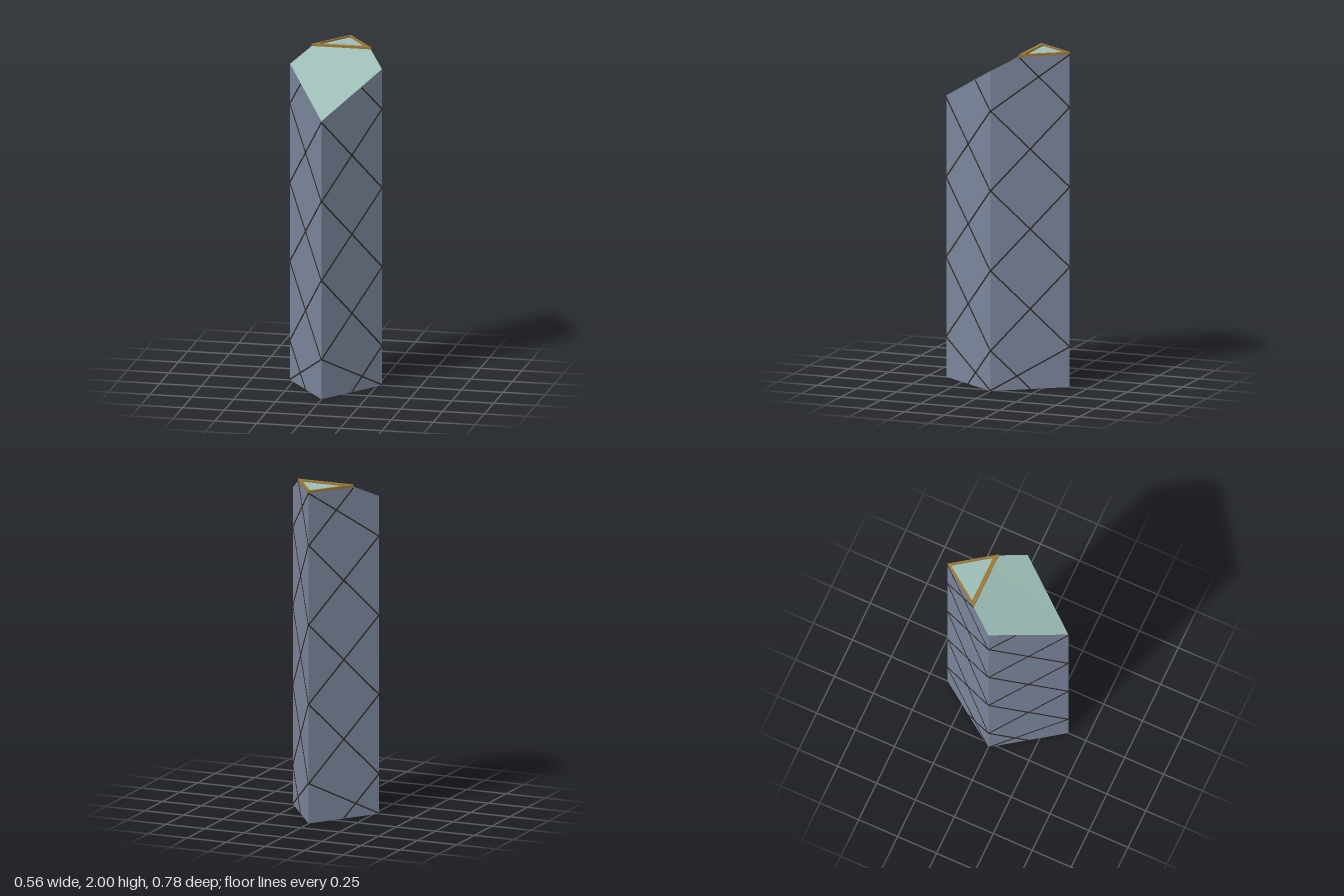
import * as THREE from 'three';

const HX = 0.275, HZ = 0.388;      // half diagonals of the rhombic plan
const FRONT_Y = 1.68, SIDE_Y = 1.91, TOP_Y = 1.987; // wall heights
const CUT_X = 0.177, CUT_Z = -0.139; // where the sloped roof meets the flat top

const mat = (color, side = THREE.FrontSide) => new THREE.MeshStandardMaterial({ color, side });

// Flat convex polygon as a triangle fan
function panel(name, points, material) {
  const g = new THREE.BufferGeometry().setFromPoints(points.map(p => new THREE.Vector3(...p)));
  const index = [];
  for (let i = 1; i < points.length - 1; i++) index.push(0, i, i + 1);
  g.setIndex(index);
  g.computeVertexNormals();
  const mesh = new THREE.Mesh(g, material);
  mesh.name = name;
  return mesh;
}

// Thin bar lying on a wall; u runs from the side corner (0) to the front or back corner (1)
function bar(sx, sz, [u0, y0, u1, y1], material) {
  const at = (u, y) => new THREE.Vector3(sx * HX * (1 - u), y, sz * HZ * u);
  const a = at(u0, y0), b = at(u1, y1);
  const along = b.clone().sub(a);
  const mesh = new THREE.Mesh(new THREE.BoxGeometry(along.length(), 0.008, 0.006), material);
  const normal = new THREE.Vector3(sx * HZ, 0, sz * HX).normalize();
  along.normalize();
  mesh.setRotationFromMatrix(new THREE.Matrix4().makeBasis(along, normal.clone().cross(along), normal));
  mesh.position.copy(a).add(b).multiplyScalar(0.5);
  mesh.name = 'latticeBar';
  return mesh;
}

function triangle(Type, halfWidth, backZ, frontZ) {
  const t = new Type();
  t.moveTo(-halfWidth, -frontZ);
  t.lineTo(halfWidth, -frontZ);
  t.lineTo(0, -backZ);
  t.closePath();
  return t;
}

export function createModel() {
  const tower = new THREE.Group();
  tower.name = 'tower';
  const wallMat = mat(0x7b859b, THREE.DoubleSide);
  const barMat = mat(0x302b27);
  const glassMat = mat(0x9dbdb6, THREE.DoubleSide);
  const goldMat = mat(0x9c7836);

  // Diagonal lattice shared by all four walls
  const lattice = [[1, 0.24, 0, 0.003], [0, 0.24, 0.5, 0.003]];
  for (let k = 0; k < 3; k++) {
    const y = 0.24 + 0.477 * k;
    lattice.push([0, y, 1, y + 0.477], [1, y, 0, y + 0.477]);
  }
  const frontEnds = [[0, 1.67, 0.34, 1.827]];
  const backEnds = [[0, 1.67, 1, 1.985], [1, 1.67, 0.366, 1.98]];

  for (const s of [1, -1]) {
    const label = s > 0 ? 'left' : 'right';
    const front = [[0, 0, HZ], [s * HX, 0, 0], [s * HX, SIDE_Y, 0], [0, FRONT_Y, HZ]];
    const back = [[s * HX, 0, 0], [0, 0, -HZ], [0, TOP_Y, -HZ],
      [s * CUT_X, TOP_Y, CUT_Z], [s * HX, SIDE_Y, 0]];
    if (s < 0) { front.reverse(); back.reverse(); }
    tower.add(panel(label + 'FrontWall', front, wallMat), panel(label + 'BackWall', back, wallMat));

    const bars = new THREE.Group();
    bars.name = label + 'Lattice';
    for (const line of [...lattice, ...frontEnds]) bars.add(bar(s, 1, line, barMat));
    for (const line of [...lattice, ...backEnds]) bars.add(bar(s, -1, line, barMat));
    tower.add(bars);
  }

  // Sloped glass roof
  tower.add(panel('slopedRoof', [[0, FRONT_Y, HZ], [HX, SIDE_Y, 0], [CUT_X, TOP_Y, CUT_Z],
    [-CUT_X, TOP_Y, CUT_Z], [-HX, SIDE_Y, 0]], glassMat));

  // Triangular frame and pane on the flat top
  const frameShape = triangle(THREE.Shape, 0.179, -0.39, -0.139);
  frameShape.holes.push(triangle(THREE.Path, 0.147, -0.368, -0.163));
  const frame = new THREE.Mesh(
    new THREE.ExtrudeGeometry(frameShape, { depth: 0.015, bevelEnabled: false }), goldMat);
  frame.name = 'topFrame';
  frame.rotation.x = -Math.PI / 2;
  frame.position.y = 1.985;

  const pane = new THREE.Mesh(
    new THREE.ShapeGeometry(triangle(THREE.Shape, 0.16, -0.378, -0.15)), glassMat);
  pane.name = 'topPane';
  pane.rotation.x = -Math.PI / 2;
  pane.position.y = 1.99;
  tower.add(frame, pane);
  return tower;
}
